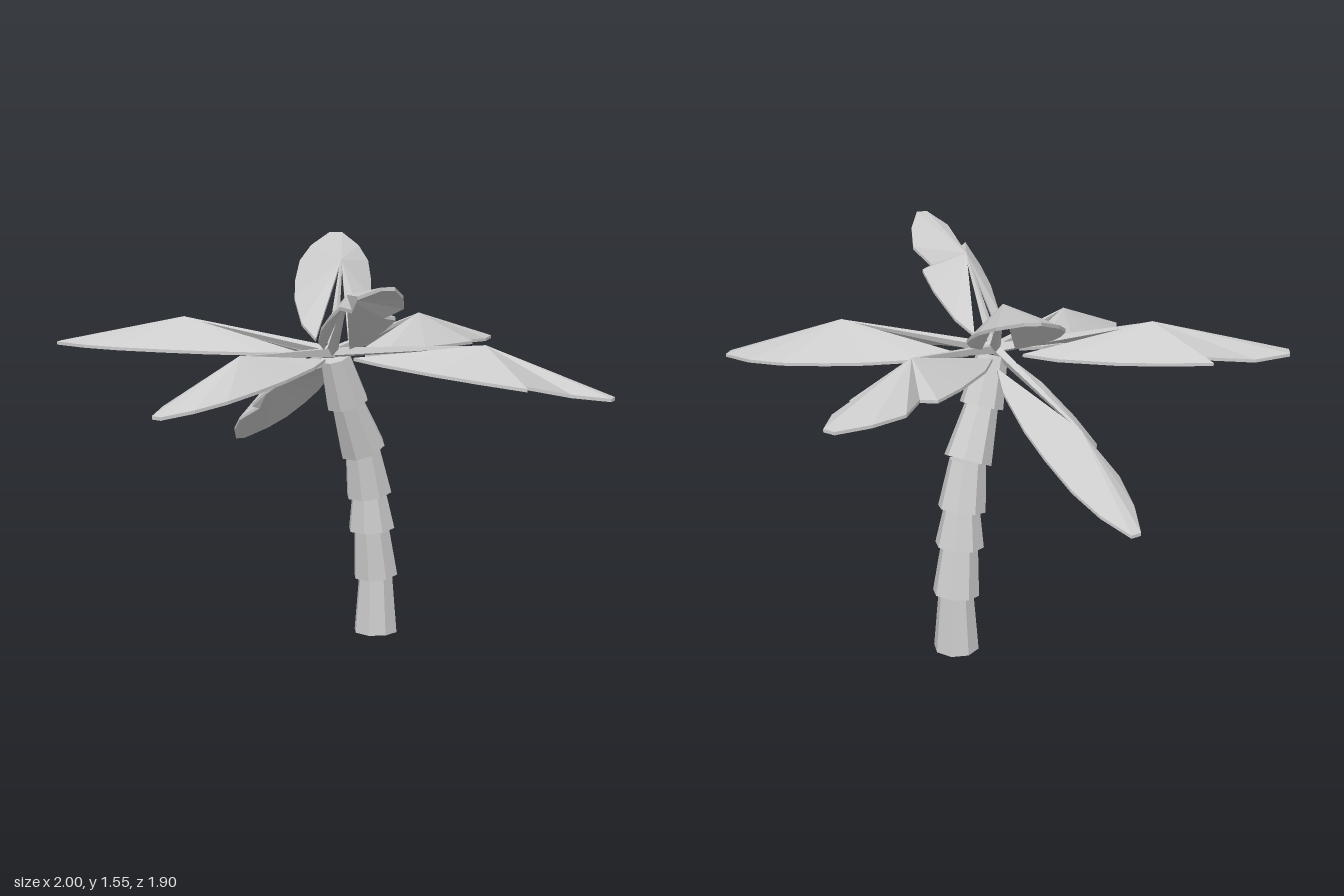
import * as THREE from 'three';

const material = new THREE.MeshStandardMaterial({ color: 0xcccccc, flatShading: true, side: THREE.DoubleSide });
const CROWN = new THREE.Vector3(-0.04, 1.14, 0.03);
const THICKNESS = 0.012;

// Trunk rings, bottom to top: [y, z, radius]
const RINGS = [
  [0, -0.231, 0.088], [0.232, -0.231, 0.09], [0.425, -0.206, 0.094],
  [0.567, -0.19, 0.092], [0.75, -0.15, 0.092], [0.94, -0.06, 0.084], [1.12, 0.01, 0.06],
];

// Half outline shared by all leaves: [part of the length, part of the half width]
const PROFILE = [[0.1, 0.4], [0.22, 0.76], [0.42, 0.98], [0.57, 1], [0.74, 0.92], [0.88, 0.65], [1, 0.18]];
const INNER_TEAR = { after: 3, point: [0.6, 0.6] };
const OUTER_TEAR = { after: 4, point: [0.69, 0.5] };

// Fronds: tip, ridge peak, half widths [one side, other side] and the tears in each side
const FRONDS = [
  { name: 'frontFrond', tip: [-0.015, 1, 0.945], ridge: [-0.03, 1.17, 0.53], widths: [0.125, 0.115], tears: [] },
  { name: 'frontLeftFrond', tip: [0.69, 1.45, 0.57], ridge: [0.29, 1.39, 0.32], widths: [0.12, 0.12],
    tears: [OUTER_TEAR, INNER_TEAR] },
  { name: 'frontRightFrond', tip: [-0.985, 1.16, 0.57], ridge: [-0.55, 1.265, 0.31], widths: [0.155, 0.138],
    tears: [OUTER_TEAR] },
  { name: 'rightFrond', tip: [-0.835, 0.7, -0.27], ridge: [-0.53, 0.975, -0.145], widths: [0.125, 0.11],
    tears: [null, INNER_TEAR] },
  { name: 'backRightFrond', tip: [-0.68, 1.55, -0.71], ridge: [-0.33, 1.46, -0.35], widths: [0.15, 0.16], tears: [] },
  { name: 'backFrond', tip: [-0.047, 1.13, -0.955], ridge: [-0.05, 1.255, -0.5], widths: [0.125, 0.14],
    tears: [OUTER_TEAR, INNER_TEAR] },
  { name: 'leftFrond', tip: [0.99, 1.025, -0.31], ridge: [0.55, 1.195, -0.145], widths: [0.115, 0.16],
    tears: [OUTER_TEAR] },
];

// Tapered cylinder running between two points
function taper(name, from, to, r0, r1, sides) {
  const dir = to.clone().sub(from);
  const geometry = new THREE.CylinderGeometry(r1, r0, dir.length(), sides);
  geometry.rotateY(Math.PI / sides);
  const mesh = new THREE.Mesh(geometry, material);
  mesh.name = name;
  mesh.position.copy(from).add(to).multiplyScalar(0.5);
  mesh.quaternion.setFromUnitVectors(new THREE.Vector3(0, 1, 0), dir.normalize());
  return mesh;
}

// One edge of a leaf from base to tip, on the straight slope from crown to tip
function leafEdge(tip, halfWidth, tear) {
  const points = [...PROFILE];
  if (tear) points.splice(tear.after + 1, 0, tear.point);
  const axis = new THREE.Vector3(...tip).sub(CROWN);
  const across = new THREE.Vector3(axis.z, 0, -axis.x).normalize();
  return points.map(([t, w]) =>
    CROWN.clone().addScaledVector(axis, t).addScaledVector(across, w * halfWidth).toArray());
}

// Thin folded leaf: facets fan out from the ridge peak to the outline
function leafGeometry({ tip, ridge, widths, tears }) {
  const loop = [ridge, ...leafEdge(tip, -widths[0], tears[0]), ...leafEdge(tip, widths[1], tears[1]).reverse()];
  const under = loop.map(([x, y, z]) => [x, y - THICKNESS, z]);
  const positions = [];
  const tri = (a, b, c) => positions.push(...a, ...b, ...c);
  for (let i = 0; i < loop.length; i++) {
    const j = (i + 1) % loop.length;
    if (i > 0 && j > 0) {
      tri(loop[0], loop[i], loop[j]);
      tri(under[0], under[j], under[i]);
    }
    // Rim
    tri(loop[i], under[i], under[j]);
    tri(loop[i], under[j], loop[j]);
  }
  const geometry = new THREE.BufferGeometry();
  geometry.setAttribute('position', new THREE.Float32BufferAttribute(positions, 3));
  geometry.computeVertexNormals();
  return geometry;
}

export function createModel() {
  const model = new THREE.Group();
  model.name = 'palmTree';

  // Leaning trunk of stacked segments, each narrowing into the next
  const trunk = new THREE.Group();
  trunk.name = 'trunk';
  for (let i = 0; i < RINGS.length - 1; i++) {
    const [y0, z0, r0] = RINGS[i];
    const [y1, z1, r1] = RINGS[i + 1];
    const topRadius = i === RINGS.length - 2 ? r1 : r1 * 0.76;
    trunk.add(taper('trunkSegment', new THREE.Vector3(-0.042, y0, z0),
      new THREE.Vector3(-0.042, y1, z1), r0, topRadius, 8));
  }
  model.add(trunk);

  // Crown of fronds, each a stem and a leaf
  for (const spec of FRONDS) {
    const frond = new THREE.Group();
    frond.name = spec.name;
    const leaf = new THREE.Mesh(leafGeometry(spec), material);
    leaf.name = 'leaf';
    const peak = new THREE.Vector3(...spec.ridge);
    peak.y -= THICKNESS / 2;
    frond.add(leaf, taper('stem', CROWN, peak, 0.022, 0.005, 4));
    model.add(frond);
  }
  return model;
}
